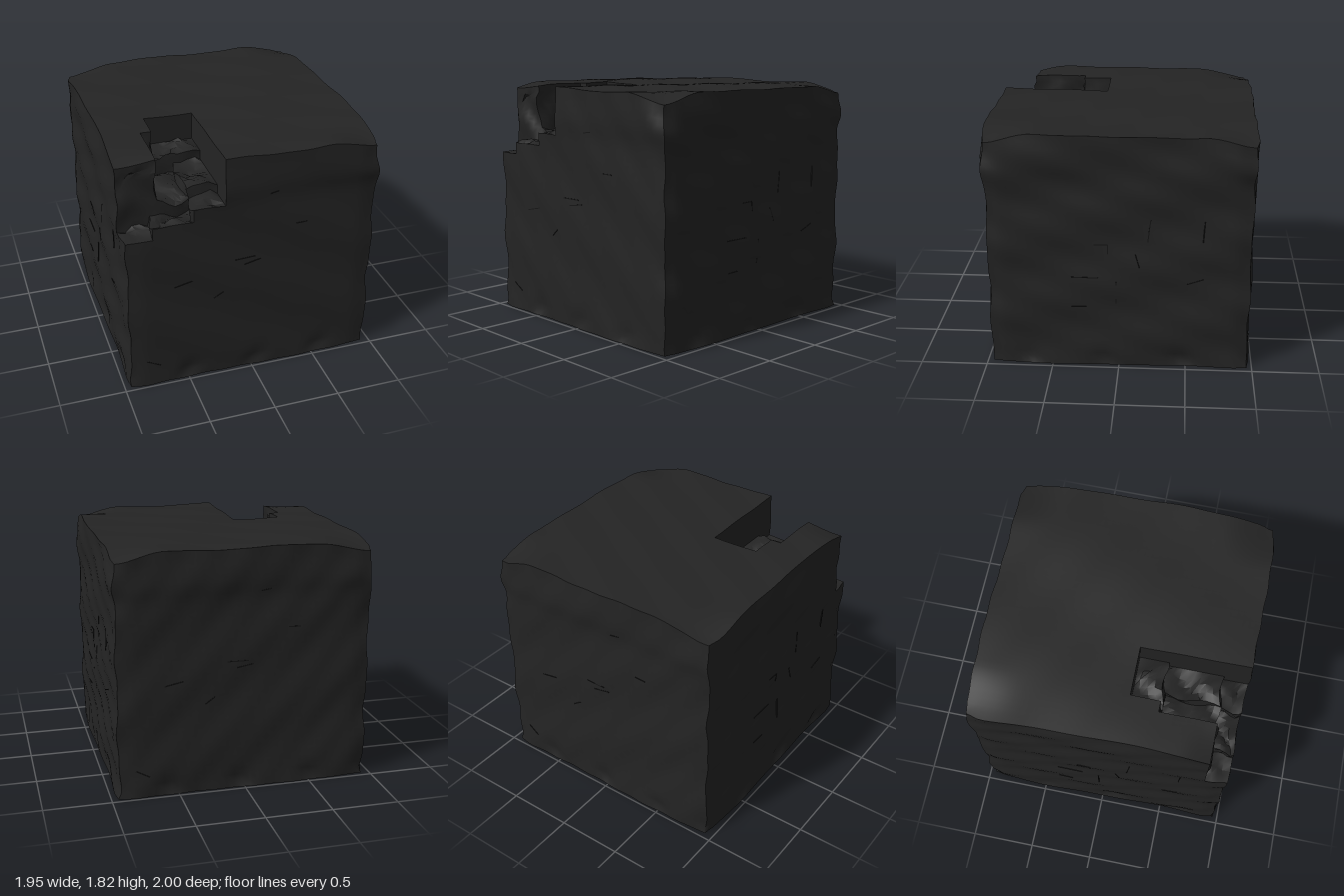
import * as THREE from 'three';
import { toCreasedNormals } from 'three/addons/utils/BufferGeometryUtils.js';

const W = 0.965, H = 1.815, D = 0.99;

// Grid lines through the given stops, evenly filled to a maximum step
function gridLines(stops, step = 0.06) {
  const out = [stops[0]];
  for (let i = 1; i < stops.length; i++) {
    const a = stops[i - 1], b = stops[i], n = Math.ceil((b - a) / step);
    for (let j = 1; j <= n; j++) out.push(a + (b - a) * j / n);
  }
  return out;
}

// Height of the stone at a plan position, with the broken corner stepped down
function stoneTop(x, z) {
  if (x > -0.22 || z < 0.16) return H;
  if (z > 0.8) return x < -0.75 ? 1.27 : x < -0.45 ? 1.36 : 1.46;
  if (z > 0.38) return x < -0.67 ? H : x < -0.45 ? 1.46 : 1.53;
  return x < -0.59 ? H : 1.6;
}

const near = (d, r) => 1 - THREE.MathUtils.smoothstep(d, 0, r);

// Weathering rule: flared cap, shallow hollows, worn corners and rough rubble
function weather(x, y, z) {
  const p = new THREE.Vector3(x, y, z);
  const below = 1 - THREE.MathUtils.smoothstep(y, 1.42, 1.6);
  const ax = near(W - Math.abs(x), 0.15), az = near(D - Math.abs(z), 0.15);
  const ay = near(H - y, 0.2);
  // cap overhangs the wall courses
  p.z -= Math.sign(z) * az * 0.016 * below;
  p.x -= Math.sign(x) * ax * 0.008 * below;
  // shallow unevenness
  p.x += 0.008 * Math.sin(11 * y + 4 * z) * ax + 0.004 * Math.sin(23 * y - 9 * z) * ax;
  p.z += 0.006 * Math.sin(10 * y + 5 * x) * az + 0.004 * Math.sin(21 * x + 17 * y) * az;
  if (y > 0) p.y += (0.005 * Math.sin(6 * x + 3 * z) + 0.003 * Math.sin(13 * z - 8 * x)) * ay;
  // chipped lower course
  const base = near(y, 0.2) * THREE.MathUtils.smoothstep(y, 0, 0.06);
  p.z -= Math.sign(z) * az * base * 0.03 * Math.max(0, Math.sin(12 * x + 1.2)) ** 2;
  p.x -= Math.sign(x) * ax * base * 0.03 * Math.max(0, Math.sin(11 * z + 0.5)) ** 2;
  // worn top corners and softened edges
  const corner = near(W - Math.abs(x), 0.4) * near(D - Math.abs(z), 0.4) * near(H - y, 0.4);
  p.y -= 0.07 * corner;
  const pair = ax * az * 0.015 + ay * (ax + az) * 0.008;
  p.x -= Math.sign(x) * ax * pair;
  p.z -= Math.sign(z) * az * pair;
  // rubble in the broken corner
  if (x > -0.95 && x < -0.24 && z > 0.18 && z < 0.97 && y > 1.25 && y < 1.75) {
    p.x += 0.02 * Math.sin(19 * z + 13 * y);
    p.y += 0.035 * Math.sin(14 * x + 3) * Math.cos(12 * z) + 0.015 * Math.sin(31 * x + 27 * z);
    p.z += 0.02 * Math.sin(17 * x + 15 * y);
  }
  return p;
}

// Skin of all solid grid cells, weathered and creased
function stoneGeometry() {
  const lines = [
    gridLines([-W, -0.75, -0.67, -0.59, -0.45, -0.22, W]),
    gridLines([0, 0.15, 1.27, 1.36, 1.46, 1.53, 1.6, H]),
    gridLines([-D, 0.16, 0.38, 0.8, D]),
  ];
  const mid = (a, i) => (lines[a][i] + lines[a][i + 1]) / 2;
  const solid = (c) => c.every((v, a) => v >= 0 && v < lines[a].length - 1)
    && mid(1, c[1]) < stoneTop(mid(0, c[0]), mid(2, c[2]));
  const pos = [];
  const addFace = (c, a, s) => {
    const u = (a + 1) % 3, v = (a + 2) % 3;
    const quad = [[0, 0], [1, 0], [1, 1], [0, 1]].map(([du, dv]) => {
      const q = [...c];
      q[a] += s > 0 ? 1 : 0;
      q[u] += du;
      q[v] += dv;
      return weather(lines[0][q[0]], lines[1][q[1]], lines[2][q[2]]);
    });
    for (const i of s > 0 ? [0, 1, 2, 0, 2, 3] : [0, 2, 1, 0, 3, 2]) pos.push(...quad[i].toArray());
  };
  for (let i = 0; i < lines[0].length - 1; i++)
    for (let j = 0; j < lines[1].length - 1; j++)
      for (let k = 0; k < lines[2].length - 1; k++) {
        const c = [i, j, k];
        if (!solid(c)) continue;
        for (let a = 0; a < 3; a++)
          for (const s of [-1, 1]) {
            const n = [...c];
            n[a] += s;
            if (!solid(n)) addFace(c, a, s);
          }
      }
  const geo = new THREE.BufferGeometry();
  geo.setAttribute('position', new THREE.Float32BufferAttribute(pos, 3));
  return toCreasedNormals(geo, 0.75);
}

export function createModel() {
  const model = new THREE.Group();
  const stone = new THREE.MeshStandardMaterial({ color: 0x242424 });
  stone.name = 'charcoal stone';
  const joint = new THREE.MeshStandardMaterial({ color: 0x151515 });
  joint.name = 'dark joint';

  const block = new THREE.Mesh(stoneGeometry(), stone);
  block.name = 'stoneBlock';
  model.add(block);

  // Hairline joints between stones: [from across, from y, to across, to y]
  const cracks = new THREE.Group();
  cracks.name = 'jointCracks';
  const addCrack = (a, b) => {
    const mesh = new THREE.Mesh(new THREE.BoxGeometry(0.007, 0.007, a.distanceTo(b)), joint);
    mesh.position.copy(a).lerp(b, 0.5);
    mesh.lookAt(b);
    mesh.name = 'jointCrack';
    cracks.add(mesh);
  };
  const frontCracks = [[-0.14, 0.99, 0.02, 0.99], [-0.07, 0.94, 0.06, 0.96], [-0.6, 0.84, -0.46, 0.87],
    [0.32, 1.22, 0.41, 1.22], [-0.3, 0.68, -0.23, 0.73], [0.11, 1.5, 0.18, 1.51], [-0.82, 0.21, -0.72, 0.16]];
  const sideCracks = [[0.18, 0.99, 0.08, 0.99], [0.08, 0.99, 0.08, 0.92], [-0.21, 1.02, -0.23, 1.19],
    [-0.61, 1.03, -0.62, 1.19], [-0.12, 0.92, -0.15, 0.82], [0.35, 0.73, 0.15, 0.73],
    [0.02, 0.7, 0.02, 0.52], [-0.5, 0.69, -0.62, 0.73], [0.35, 0.49, 0.24, 0.49]];
  for (const s of [1, -1]) {
    for (const [u, y, v, w] of frontCracks) addCrack(weather(s * u, y, s * D), weather(s * v, w, s * D));
    for (const [u, y, v, w] of sideCracks) addCrack(weather(s * W, y, s * u), weather(s * W, w, s * v));
  }
  model.add(cracks);
  return model;
}
